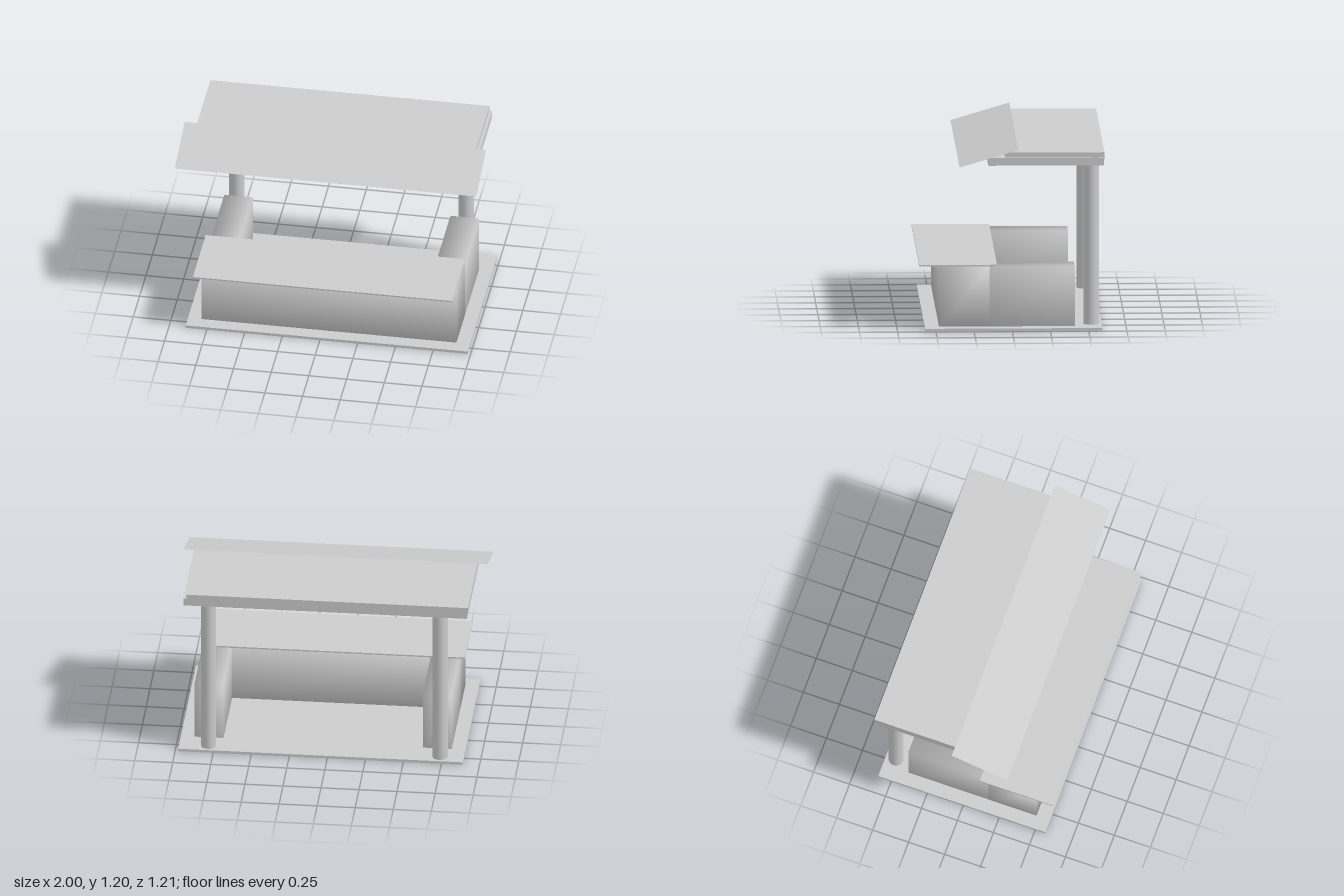
import * as THREE from 'three';

export function createModel() {
  const group = new THREE.Group();
  group.name = 'marketStall';

  const grey = new THREE.MeshStandardMaterial({ color: 0xcccccc });
  grey.name = 'light grey';
  const greySheet = new THREE.MeshStandardMaterial({ color: 0xcccccc, side: THREE.DoubleSide });
  greySheet.name = 'light grey sheet';

  const add = (name, geometry, material = grey) => {
    const mesh = new THREE.Mesh(geometry, material);
    mesh.name = name;
    group.add(mesh);
    return mesh;
  };

  // Box given by its extents on each axis
  const block = (x0, x1, y0, y1, z0, z1) =>
    new THREE.BoxGeometry(x1 - x0, y1 - y0, z1 - z0)
      .translate((x0 + x1) / 2, (y0 + y1) / 2, (z0 + z1) / 2);

  // Box whose corner normals blend the three faces, weighted by face area
  const softBlock = (x0, x1, y0, y1, z0, z1) => {
    const geometry = block(x0, x1, y0, y1, z0, z1);
    const { position, normal } = geometry.attributes;
    const n = new THREE.Vector3();
    for (let i = 0; i < position.count; i++) {
      n.set(
        Math.sign(position.getX(i) - (x0 + x1) / 2) / (x1 - x0),
        Math.sign(position.getY(i) - (y0 + y1) / 2) / (y1 - y0),
        Math.sign(position.getZ(i) - (z0 + z1) / 2) / (z1 - z0)
      ).normalize();
      normal.setXYZ(i, n.x, n.y, n.z);
    }
    return geometry;
  };

  // Floor
  add('floor', block(-0.89, 0.98, 0, 0.018, -0.59, 0.57));

  // U-shaped counter: front run and two side wings
  add('frontCounter', softBlock(-0.8, 0.89, 0.01, 0.415, 0.145, 0.477));
  add('rightCounter', softBlock(-0.8, -0.61, 0.01, 0.415, -0.412, 0.145));
  add('leftCounter', softBlock(0.7, 0.89, 0.01, 0.415, -0.412, 0.145));
  add('counterTop', block(-0.837, 0.883, 0.415, 0.425, 0.097, 0.605));

  // Rear posts
  for (const [name, x] of [['rightPost', -0.735], ['leftPost', 0.787]]) {
    add(name, new THREE.CylinderGeometry(0.05, 0.05, 1.1, 32)).position.set(x, 0.55, -0.522);
  }

  // Two overlapping roof slabs
  add('lowerRoof', block(-0.92, 0.945, 1.09, 1.14, -0.6, 0.155));
  add('upperRoof', block(-0.925, 0.925, 1.125, 1.173, -0.605, 0.045));

  // Sloping awning sheet resting on the front edges of both slabs
  const drop = 0.115, reach = 0.385;
  const awning = add('awning', new THREE.PlaneGeometry(2, Math.hypot(drop, reach)), greySheet);
  awning.rotation.x = -Math.PI / 2 + Math.atan2(drop, reach);
  awning.position.set(0, 1.145, 0.153);

  return group;
}
